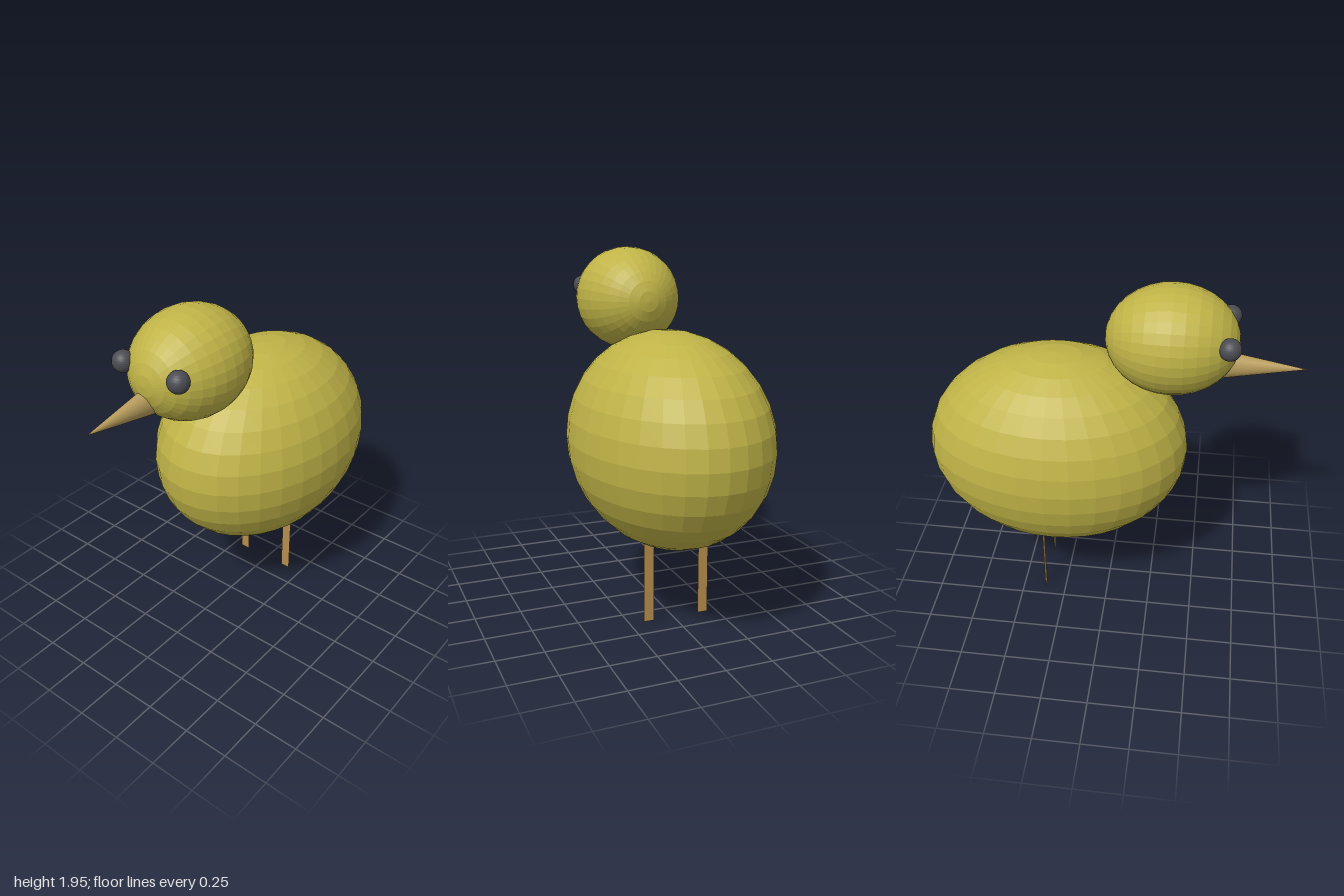
import * as THREE from 'three';

export function createModel() {
  const bird = new THREE.Group();
  bird.name = 'bird';

  const paint = (color, extra = {}) => new THREE.MeshStandardMaterial({ color, flatShading: true, ...extra });
  const feathers = paint(0xbfb347);
  const horn = paint(0xb89c5c);
  const dark = paint(0x4a4c52);
  const legSkin = paint(0xb58d4c, { side: THREE.DoubleSide });

  function add(name, geometry, material, x, y, z) {
    const mesh = new THREE.Mesh(geometry, material);
    mesh.name = name;
    mesh.position.set(x, y, z);
    bird.add(mesh);
    return mesh;
  }

  // Faceted ellipsoid with its poles on y, or on z when poleZ is set
  function ellipsoid(rx, ry, rz, poleZ = false) {
    const g = new THREE.SphereGeometry(1, 32, 16);
    if (poleZ) g.rotateX(Math.PI / 2);
    return g.scale(rx, ry, rz);
  }

  add('body', ellipsoid(0.512, 0.567, 0.713), feathers, 0, 0.974, -0.287);
  add('head', ellipsoid(0.284, 0.284, 0.341, true), feathers, 0, 1.662, 0.316);

  // Beak: flattened cone pointing forward, its base sunk in the head
  const beakLength = 0.48;
  const beak = new THREE.ConeGeometry(1, beakLength, 32);
  beak.rotateX(Math.PI / 2).scale(0.066, 0.084, 1);
  add('beak', beak, horn, -0.03, 1.55, 1 - beakLength / 2);

  // Eyes
  add('leftEye', ellipsoid(0.056, 0.056, 0.056), dark, 0.172, 1.72, 0.602);
  add('rightEye', ellipsoid(0.056, 0.056, 0.056), dark, -0.174, 1.72, 0.602);

  // Legs: flat strips reaching up into the belly
  const legHeight = 0.5;
  for (const [name, x] of [['leftLeg', 0.142], ['rightLeg', -0.172]]) {
    add(name, new THREE.PlaneGeometry(0.057, legHeight), legSkin, x, legHeight / 2, -0.37);
  }

  return bird;
}
